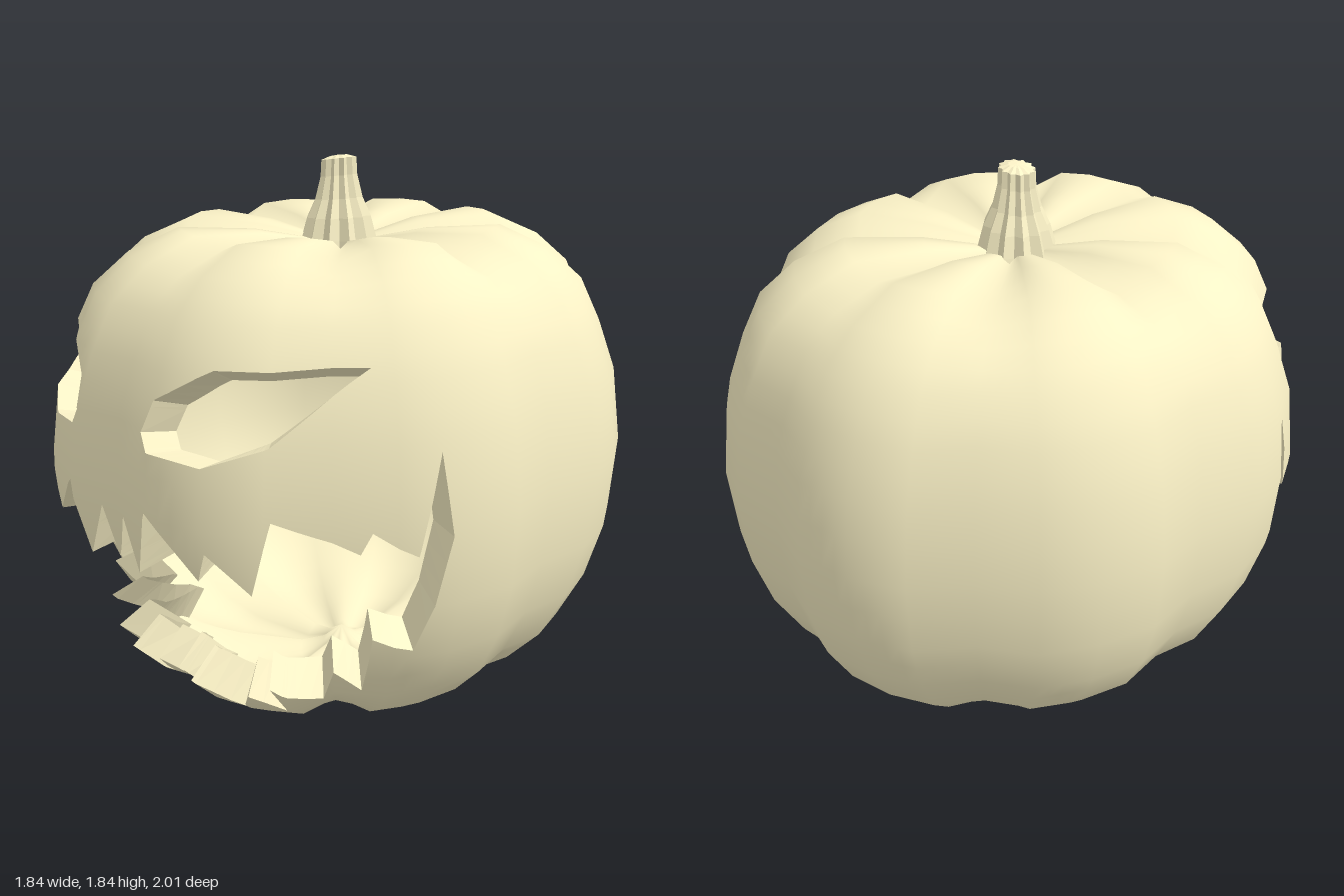
import * as THREE from 'three';

const RX = 0.94, RZ = 1.025, MID_Y = 0.8, RIM = 0.135, STEP = Math.PI / 16;
const rad = THREE.MathUtils.degToRad;

// Half profile of the gourd: radius factor, height
const profile = [
  [0, 0.1], [0.07, 0.04], [0.16, 0.005], [0.41, 0.015], [0.58, 0.07], [0.72, 0.165], [0.84, 0.29], [0.93, 0.46],
  [0.985, 0.65], [1.003, 0.9], [0.968, 1.15], [0.905, 1.315], [0.835, 1.455], [0.715, 1.558],
  [0.55, 1.63], [0.3, 1.615], [0.13, 1.58], [0, 1.53],
];
const LAST = profile.length - 1;

// Corner of the coarse skin: column i of 32, profile point j; every fourth column is a crease
function corner(i, j) {
  const a = i * STEP, [s, y] = profile[j];
  const c = (1 - Math.abs(Math.sin(4 * a))) ** 2;
  const r = s * (1 - 0.055 * c);
  const dip = (0.045 + 0.035 * Math.sin(a) ** 2) * c * Math.sin(Math.PI * Math.min(s / 0.85, 1));
  return new THREE.Vector3(RX * r * Math.sin(a), y - (y > MID_Y ? dip : -dip), RZ * r * Math.cos(a));
}

function cornerNormal(i, j) {
  if (j === 0 || j === LAST) return new THREE.Vector3(0, j ? 1 : -1, 0);
  const da = corner(i + 1, j).sub(corner(i - 1, j));
  const dv = corner(i, j + 1).sub(corner(i, j - 1));
  return da.cross(dv).normalize();
}

// Blends corner values at angle a from the front and position v (0 to 1) up the profile
function blend(f, a, v) {
  const i = Math.floor(a / STEP), j = Math.min(LAST - 1, Math.floor(v * LAST));
  const t = a / STEP - i, u = v * LAST - j;
  return f(i, j).lerp(f(i + 1, j), t).lerp(f(i, j + 1).lerp(f(i + 1, j + 1), t), u);
}
const skin = (a, v) => blend(corner, a, v);
const skinNormal = (a, v) => blend(cornerNormal, a, v).normalize();

// Inner edge of a cut, straight in from the skin
const inward = (a, v) => skin(a, v).addScaledVector(skinNormal(a, v), -RIM);

function bisect(f, target, lo, hi) {
  for (let i = 0; i < 36; i++) {
    const m = (lo + hi) / 2;
    if (f(m) < target) lo = m; else hi = m;
  }
  return (lo + hi) / 2;
}

// Turns [x, y] seen from the front (or [null, y, degrees]) into [angle, v]
function onSkin([x, y, deg = 0]) {
  let a = rad(deg), v = 0.5;
  for (let i = 0; i < 6; i++) {
    v = bisect((t) => skin(a, t).y, y, 3 / LAST, 14 / LAST);
    if (x !== null) a = bisect((t) => skin(t, v).x, x, rad(-72), rad(72));
  }
  return [a, v];
}

const eye = [[0.66, 1.35], [0.345, 1.34], [0.185, 1.24], [0.155, 1.145], [0.19, 1.095], [0.37, 1.08], [0.53, 1.15]];

const mouth = [
  // upper teeth
  [null, 0.81, -59.7], [-0.74, 0.9], [-0.69, 0.81], [-0.57, 0.89], [-0.5, 0.69], [-0.37, 0.87], [-0.34, 0.77],
  [-0.2, 0.92], [-0.13, 0.69], [-0.06, 0.87], [-0.01, 0.71], [0.04, 0.86], [0.11, 0.7], [0.18, 0.92],
  [0.345, 0.74], [0.37, 0.83], [0.48, 0.71], [0.53, 0.94], [0.69, 0.83], [0.72, 0.9], [null, 0.82, 59.7],
  // corner
  [null, 1.12, 63.8], [null, 0.87, 65.7], [null, 0.65, 63], [null, 0.49, 60],
  // lower teeth
  [0.69, 0.54], [0.6, 0.31], [0.56, 0.39], [0.47, 0.24], [0.42, 0.33], [0.37, 0.18], [0.33, 0.27], [0.22, 0.15],
  [0.14, 0.28], [0.08, 0.14], [0.02, 0.26], [-0.03, 0.16], [-0.07, 0.26], [-0.12, 0.15], [-0.17, 0.28],
  [-0.25, 0.12], [-0.32, 0.28], [-0.41, 0.13], [-0.46, 0.32], [-0.49, 0.21], [-0.56, 0.39], [-0.6, 0.31], [-0.69, 0.54],
  // other corner
  [null, 0.49, -60], [null, 0.65, -63], [null, 0.87, -65.7], [null, 1.12, -63.8],
];

const holes = [
  eye.map(([x, y]) => onSkin([x - 0.02, y])),
  eye.map(([x, y]) => onSkin([-x - 0.02, y])),
  mouth.map(onSkin),
];

// Collects quads, with normals when given; corners that coincide leave a single triangle
function builder() {
  const pos = [], nor = [];
  return {
    quad(p, n) {
      for (const tri of [[0, 1, 2], [0, 2, 3]]) {
        const [a, b, c] = tri.map((i) => p[i]);
        if (Math.min(a.distanceTo(b), b.distanceTo(c), c.distanceTo(a)) < 1e-6) continue;
        for (const i of tri) {
          pos.push(...p[i].toArray());
          if (n) nor.push(...n[i].toArray());
        }
      }
    },
    geometry() {
      const g = new THREE.BufferGeometry();
      g.setAttribute('position', new THREE.Float32BufferAttribute(pos, 3));
      if (nor.length) g.setAttribute('normal', new THREE.Float32BufferAttribute(nor, 3));
      else g.computeVertexNormals();
      return g;
    },
  };
}

// Splits the skin into thin columns, leaves out the openings and lines them with walls
function carvedShell() {
  const shell = builder(), walls = builder();
  const edges = holes.flatMap((h) => h.map((p, i) => [p, h[(i + 1) % h.length]]));
  const angles = holes.flat().map((p) => p[0]);
  for (let i = -64; i <= 64; i++) angles.push((i * STEP) / 4);
  angles.sort((p, q) => p - q);
  const rows = LAST * 2;

  for (let i = 0; i + 1 < angles.length; i++) {
    const a = angles[i], b = angles[i + 1], m = (a + b) / 2;
    if (b - a < 1e-6) continue;
    const cuts = [];
    for (const [p, q] of edges) {
      if ((p[0] < m) === (q[0] < m)) continue;
      const at = (t) => p[1] + ((q[1] - p[1]) * (t - p[0])) / (q[0] - p[0]);
      cuts.push([at(a), at(b)]);
    }
    cuts.sort((p, q) => p[0] + p[1] - q[0] - q[1]);

    for (const [va, vb] of cuts) walls.quad([skin(a, va), skin(b, vb), inward(b, vb), inward(a, va)]);

    // Bands of skin between openings, on rows shared by all columns
    const bounds = [[0, 0], ...cuts, [1, 1]];
    for (let k = 0; k < bounds.length; k += 2) {
      const [lo, hi] = [bounds[k], bounds[k + 1]];
      const row = (s, r) => THREE.MathUtils.clamp(r / rows, lo[s], hi[s]);
      for (let r = 0; r < rows; r++) {
        const c = [[a, row(0, r)], [b, row(1, r)], [b, row(1, r + 1)], [a, row(0, r + 1)]];
        shell.quad(c.map(([t, v]) => skin(t, v)), c.map(([t, v]) => skinNormal(t, v)));
      }
    }
  }
  return { skin: shell.geometry(), walls: walls.geometry() };
}

// Fluted stalk: a lathe whose every second column is pulled in, with a slanted top
function stalkGeometry() {
  const pts = [[0.145, 1.5], [0.13, 1.57], [0.11, 1.64], [0.082, 1.7], [0.063, 1.775], [0.06, 1.83], [0.03, 1.84], [0, 1.842]];
  const g = new THREE.LatheGeometry(pts.map(([r, y]) => new THREE.Vector2(r, y)), 24);
  const p = g.attributes.position;
  for (let i = 0; i < p.count; i++) {
    const f = Math.floor(i / pts.length) % 2 ? 0.83 : 1;
    const x = p.getX(i), y = p.getY(i);
    p.setXYZ(i, x * f - 0.012, y + x * (y - 1.5) * 0.4, p.getZ(i) * f);
  }
  return g;
}

export function createModel() {
  const group = new THREE.Group();
  group.name = 'carvedPumpkin';
  const look = { color: 0xfaf1c6, side: THREE.DoubleSide };
  const smooth = new THREE.MeshStandardMaterial(look);
  const flat = new THREE.MeshStandardMaterial({ ...look, flatShading: true });
  const add = (name, geometry, material) => {
    const mesh = new THREE.Mesh(geometry, material);
    mesh.name = name;
    group.add(mesh);
  };
  const shell = carvedShell();
  add('skin', shell.skin, smooth);
  add('cutWalls', shell.walls, flat);
  add('stalk', stalkGeometry(), flat);
  return group;
}
